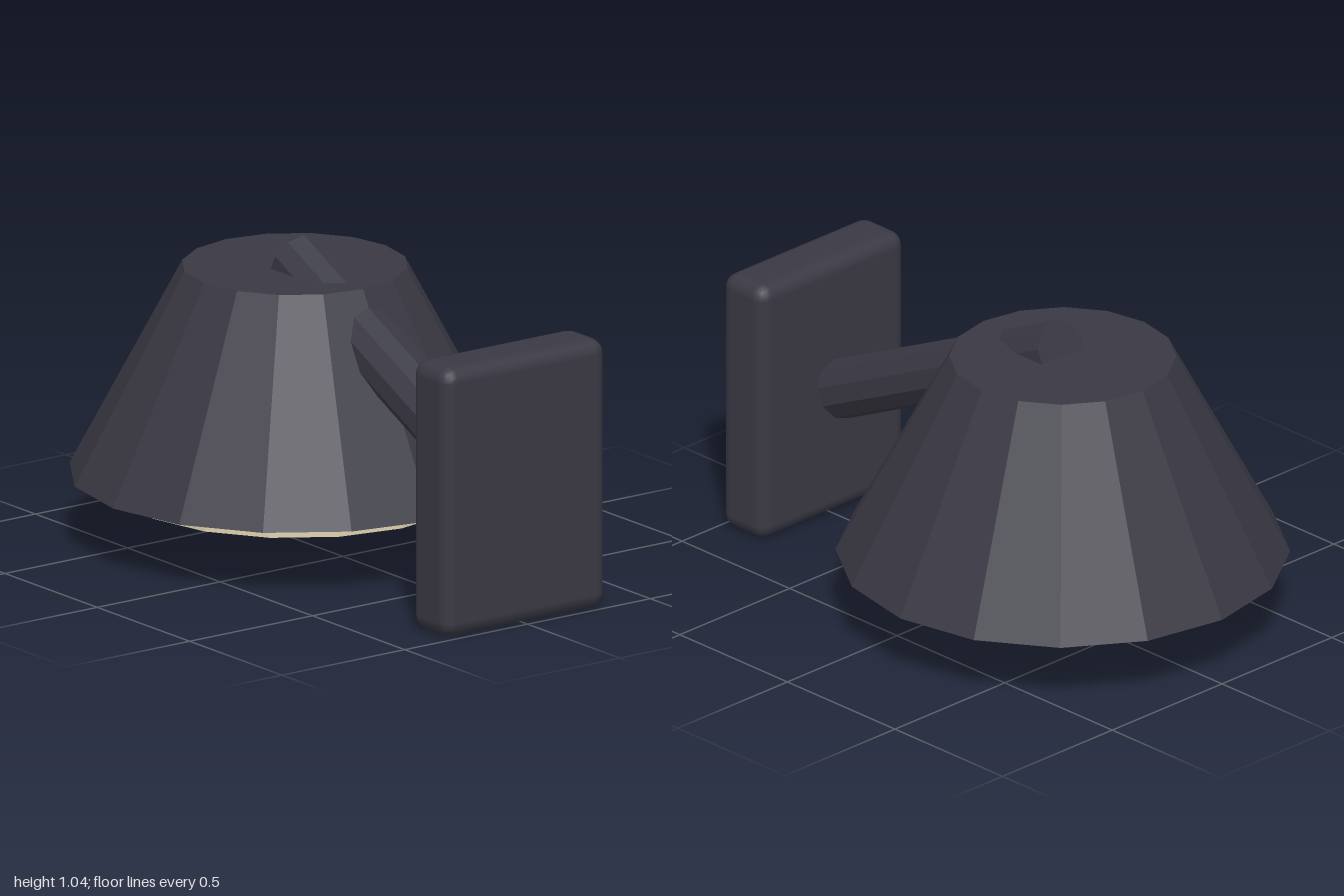
import * as THREE from 'three';
import { RoundedBoxGeometry } from 'three/addons/geometries/RoundedBoxGeometry.js';

export function createModel() {
  const lamp = new THREE.Group();
  lamp.name = 'wallLamp';

  const darkMetal = new THREE.MeshStandardMaterial({ color: 0x3a3944 });
  darkMetal.name = 'darkMetal';
  const facetedMetal = darkMetal;
  const warmGlass = new THREE.MeshStandardMaterial({ color: 0xdfd2b0 });
  warmGlass.name = 'warmGlass';

  const add = (name, geometry, material, x, y, z) => {
    const mesh = new THREE.Mesh(geometry, material);
    mesh.name = name;
    mesh.position.set(x, y, z);
    lamp.add(mesh);
    return mesh;
  };

  // Unshared vertices give each side its own flat normal
  const faceted = (geometry) => {
    const flat = geometry.toNonIndexed();
    flat.computeVertexNormals();
    return flat;
  };

  // Wall plate with softly rounded edges
  add('wallPlate', new RoundedBoxGeometry(0.66, 0.91, 0.2, 2, 0.05), darkMetal, 0, 0.455, 0.9);

  // Sloping arm from the plate up through the shade
  const low = new THREE.Vector3(0, 0.46, 0.773);
  const high = new THREE.Vector3(0, 0.95, -0.254);
  const direction = high.clone().sub(low);
  const middle = low.clone().add(high).multiplyScalar(0.5);
  const arm = add('arm', faceted(new THREE.CylinderGeometry(0.1, 0.1, direction.length(), 10)),
    facetedMetal, middle.x, middle.y, middle.z);
  arm.quaternion.setFromUnitVectors(new THREE.Vector3(0, 1, 0), direction.normalize());

  // Closed conical shade
  add('shade', faceted(new THREE.CylinderGeometry(0.37, 0.74, 0.7, 16)), facetedMetal, 0, 0.58, -0.26);

  // Glass diffuser set into the underside
  add('diffuser', faceted(new THREE.CylinderGeometry(0.577, 0.577, 0.12, 16)), warmGlass, 0, 0.227, -0.26);

  return lamp;
}
